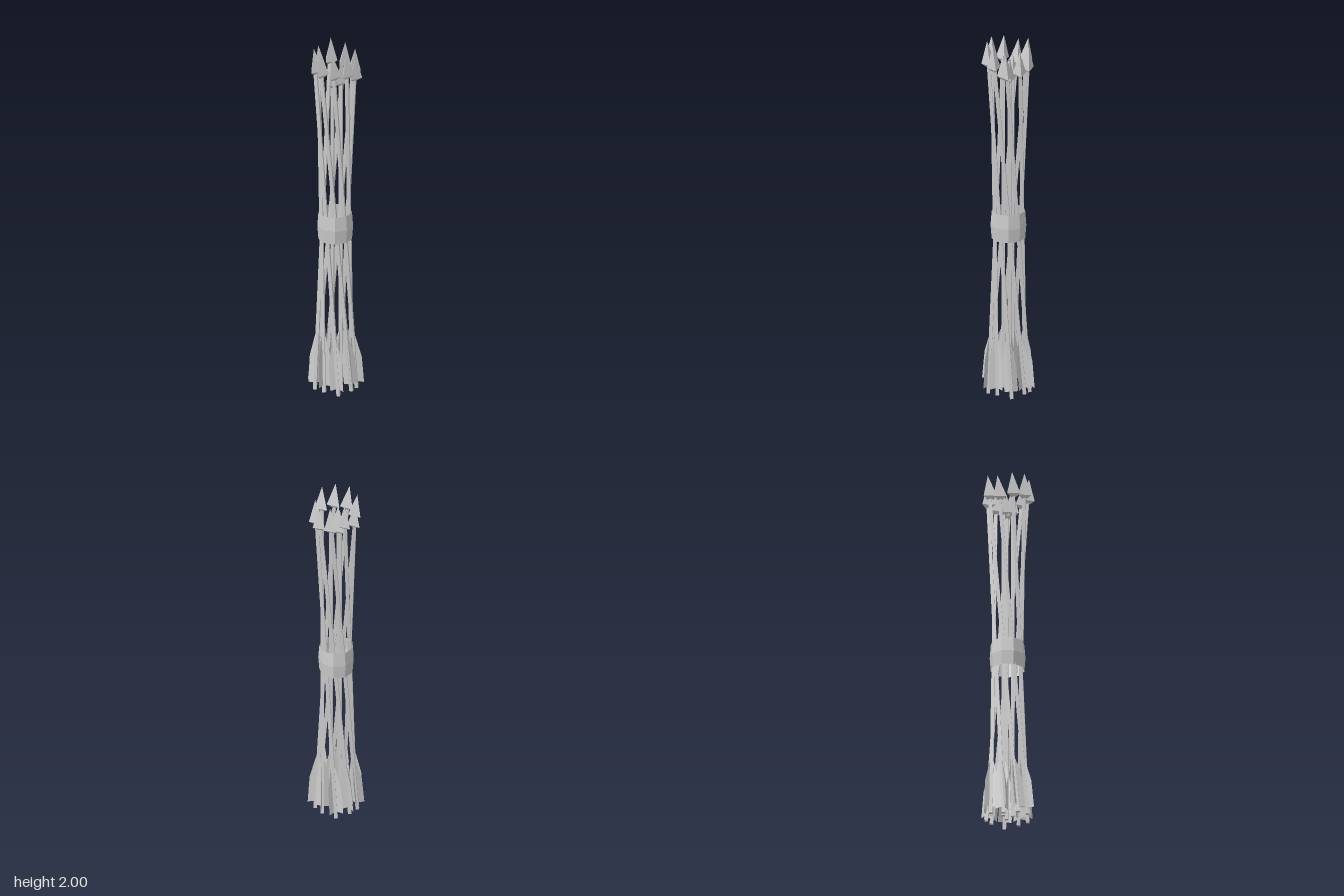
import * as THREE from 'three';

const grey = new THREE.MeshStandardMaterial({ color: 0xcccccc, flatShading: true });
const thin = new THREE.MeshStandardMaterial({ color: 0xcccccc, flatShading: true, side: THREE.DoubleSide });
const UP = new THREE.Vector3(0, 1, 0);

function addMesh(parent, name, geometry, material = grey) {
  const mesh = new THREE.Mesh(geometry, material);
  mesh.name = name;
  parent.add(mesh);
  return mesh;
}

// Feather outline: inner edge on the shaft axis, outer edge tapering into the shaft
const vaneShape = new THREE.Shape([
  [0, 0.04], [0.042, 0.032], [0.04, 0.185], [0.013, 0.31], [0, 0.32],
].map(([x, y]) => new THREE.Vector2(x, y)));

// One arrow running from its nock to its tip
function makeArrow(nock, tip, headRadius, vaneDegrees) {
  const arrow = new THREE.Group();
  arrow.name = 'arrow';
  const axis = tip.clone().sub(nock);
  const length = axis.length();
  arrow.position.copy(nock);
  arrow.quaternion.setFromUnitVectors(UP, axis.normalize());

  const shaftLength = length - 0.13;
  addMesh(arrow, 'shaft', new THREE.CylinderGeometry(0.013, 0.013, shaftLength, 4)
    .translate(0, shaftLength / 2, 0));

  // Three-sided head with a shallow underside
  addMesh(arrow, 'headPoint', new THREE.CylinderGeometry(0, headRadius, 0.128, 3, 1, true, Math.PI)
    .translate(0, length - 0.064, 0));
  addMesh(arrow, 'headBase', new THREE.CylinderGeometry(headRadius, 0.013, 0.018, 3, 1, true, Math.PI)
    .translate(0, length - 0.137, 0));

  // Three feathers around the shaft
  for (let i = 0; i < 3; i++) {
    const vane = addMesh(arrow, 'feather', new THREE.ShapeGeometry(vaneShape), thin);
    vane.rotation.y = THREE.MathUtils.degToRad(vaneDegrees + i * 120);
  }
  return arrow;
}

function onRing(radius, degrees, y) {
  const a = THREE.MathUtils.degToRad(degrees);
  return new THREE.Vector3(radius * Math.cos(a), y, -radius * Math.sin(a));
}

export function createModel() {
  const group = new THREE.Group();
  group.name = 'arrowBundle';

  // Outer ring of nine arrows, twisted so that it narrows at the band
  const tips = [1.98, 2, 1.975, 1.99, 2, 2, 2, 1.96, 1.97];
  tips.forEach((tipY, i) => {
    const angle = 32 + i * 40;
    const nockAngle = angle + 97;
    const nockY = 0.005 + (i * 4 % 9) * 0.003;
    group.add(makeArrow(onRing(0.113, nockAngle, nockY), onRing(0.113, angle, tipY), 0.041, 50 - nockAngle));
  });

  // Three lower arrows upright in the middle
  for (let i = 0; i < 3; i++) {
    const angle = 90 + i * 120;
    group.add(makeArrow(onRing(0.029, angle, 0.03), onRing(0.029, angle, 1.92), 0.035, 90));
  }

  // Nine-sided band around the waist, bulging in the middle
  const profile = [[0.09, 0.885], [0.096, 0.962], [0.09, 1.04]].map(([x, y]) => new THREE.Vector2(x, y));
  addMesh(group, 'band', new THREE.LatheGeometry(profile, 9, Math.PI / 2), thin);

  return group;
}
